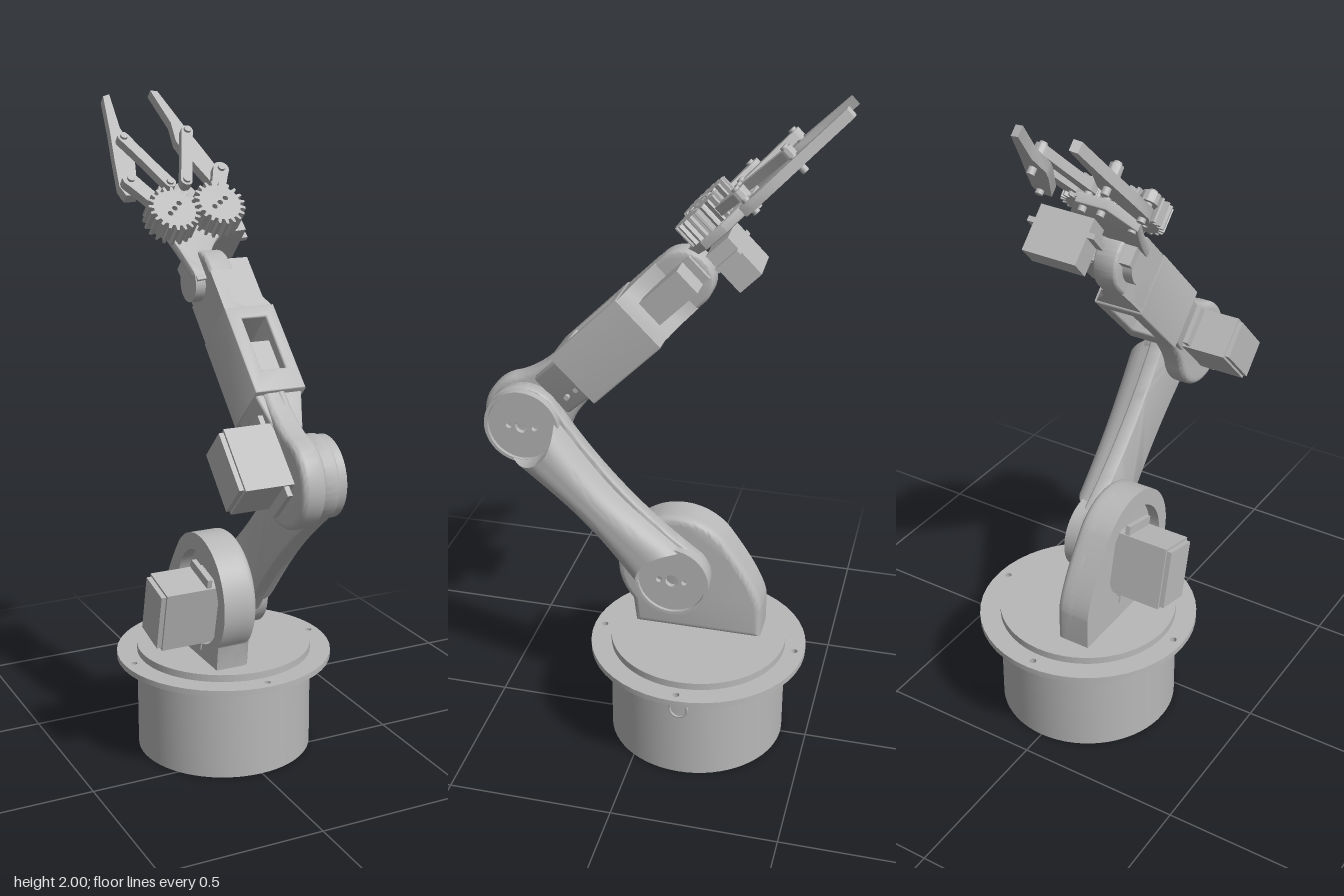
import * as THREE from 'three';
import { toCreasedNormals } from 'three/addons/utils/BufferGeometryUtils.js';

const gray = new THREE.MeshStandardMaterial({ color: 0xb8b8b8 });
gray.name = 'light gray';

function add(parent, name, geo, x = 0, y = 0, z = 0) {
  const m = new THREE.Mesh(geo, gray);
  m.name = name;
  m.position.set(x, y, z);
  parent.add(m);
  return m;
}
const smooth = (g) => toCreasedNormals(g, 0.6);
const poly = (pts, s = 1) => new THREE.Shape(pts.map(([x, y]) => new THREE.Vector2(s * x, y)));

// box given by its limits
function box(parent, name, [x0, x1], [y0, y1], [z0, z1]) {
  return add(parent, name, new THREE.BoxGeometry(x1 - x0, y1 - y0, z1 - z0),
    (x0 + x1) / 2, (y0 + y1) / 2, (z0 + z1) / 2);
}
// shape in x,y extruded from z0 to z1
function extrude(shape, z0, z1, b = 0) {
  const g = new THREE.ExtrudeGeometry(shape, {
    depth: z1 - z0 - 2 * b, curveSegments: 24, bevelEnabled: b > 0,
    bevelSize: b, bevelThickness: b, bevelOffset: -b, bevelSegments: 4,
  });
  return smooth(g.translate(0, 0, z0 + b));
}
const slab = (parent, name, shape, z0, z1, b) => add(parent, name, extrude(shape, z0, z1, b));
// shape in z,y extruded from x0 to x1
const plate = (parent, name, shape, x0, x1, b) =>
  add(parent, name, extrude(shape, -x1, -x0, b).rotateY(-Math.PI / 2));

function hole(shape, x, y, r) {
  shape.holes.push(new THREE.Path().absarc(x, y, r, 0, Math.PI * 2, true));
}
// two round ends joined by a waisted body
function waisted(r0, r1, len, waist) {
  const s = new THREE.Shape();
  s.absarc(0, 0, r0, Math.PI, Math.PI * 2);
  s.quadraticCurveTo(waist, len / 2, r1, len);
  s.absarc(0, len, r1, 0, Math.PI);
  s.quadraticCurveTo(-waist, len / 2, -r0, 0);
  return s;
}
// horn disc with its screw holes, facing +x
function horn(parent, y, r, x0, x1) {
  const s = new THREE.Shape().absarc(0, y, r, 0, Math.PI * 2);
  hole(s, 0, y, 0.02);
  for (const k of [-1, 1]) hole(s, 0.028 * k, y + 0.028 * k, 0.01);
  plate(parent, 'jointDisc', s, x0, x1);
}

function buildBase(root) {
  const base = new THREE.Group();
  base.name = 'base';
  base.position.z = -0.15;
  root.add(base);
  const profile = [[0.25, 0], [0.27, 0], [0.27, 0.335], [0, 0.335], [0, 0.3], [0.25, 0.3], [0.25, 0]];
  add(base, 'drum', smooth(new THREE.LatheGeometry(profile.map((p) => new THREE.Vector2(...p)), 64)));
  const ring = new THREE.Shape().absarc(0, 0, 0.333, 0, Math.PI * 2);
  hole(ring, 0, 0, 0.262);
  for (let i = 0; i < 4; i++) hole(ring, 0.302 * Math.cos(i * Math.PI / 2), 0.302 * Math.sin(i * Math.PI / 2), 0.01);
  add(base, 'flange', extrude(ring, 0, 0.018).rotateX(-Math.PI / 2), 0, 0.295, 0);
  add(base, 'cableHole', new THREE.TorusGeometry(0.027, 0.004, 8, 24).rotateY(Math.PI / 2), 0.269, 0.235, 0);
  box(base, 'baseServo', [-0.09, 0.11], [0.15, 0.3], [-0.06, 0.06]);
  box(base, 'baseServoEars', [-0.125, 0.145], [0.24, 0.255], [-0.06, 0.06]);
}

function buildShoulder(root) {
  // arched bracket, hollow towards -x
  const arch = () => {
    const s = new THREE.Shape();
    s.moveTo(-0.34, 0.33);
    s.lineTo(0.055, 0.33);
    s.lineTo(0.065, 0.41);
    s.absarc(-0.075, 0.535, 0.187, -0.72, Math.PI * 0.78);
    s.quadraticCurveTo(-0.335, 0.5, -0.34, 0.43);
    return s;
  };
  const rim = arch();
  hole(rim, -0.075, 0.525, 0.145);
  plate(root, 'shoulderRim', rim, -0.12, -0.045);
  plate(root, 'shoulderBracket', arch(), -0.085, -0.012, 0.02);
  const servo = new THREE.Group();
  servo.name = 'shoulderServo';
  servo.position.set(0, 0.497, -0.08);
  servo.rotation.x = 0.24;
  root.add(servo);
  box(servo, 'servoBody', [-0.255, -0.05], [-0.097, 0.097], [-0.065, 0.065]);
  box(servo, 'servoCap', [-0.27, -0.255], [-0.09, 0.09], [-0.058, 0.058]);
  box(servo, 'servoEars', [-0.125, -0.11], [-0.125, 0.125], [-0.06, 0.06]);
}

function buildUpperArm(root) {
  const arm = new THREE.Group(), L = 0.655, R = 0.106;
  arm.name = 'upperArm';
  arm.position.set(0, 0.54, -0.075);
  arm.rotation.x = 0.775;
  root.add(arm);
  plate(arm, 'linkPlate', waisted(0.113, 0.12, L, 0.055), -0.012, 0.035, 0.008);
  for (const y of [0, L]) {
    const cup = new THREE.Shape().absarc(0, y, 0.115, 0, Math.PI * 2);
    hole(cup, 0, y, 0.105);
    plate(arm, 'cupRim', cup, 0.02, 0.058);
    horn(arm, y, 0.103, 0.03, 0.05);
  }
  // bulged shell, cut round at both ends to clear the discs
  const nx = 20, ny = 18;
  const g = new THREE.PlaneGeometry(2, 1, nx, ny);
  const p = g.attributes.position;
  for (let i = 0; i < p.count; i++) {
    const row = Math.floor(i / (nx + 1)), s = p.getX(i);
    const t = 1 - THREE.MathUtils.clamp((row - 1) / (ny - 2), 0, 1);
    const u = -s * (0.1 - 0.026 * Math.sin(Math.PI * t));
    const cut = Math.sqrt(R * R - u * u);
    const h = row === 0 || row === ny ? 0 : (0.1 + 0.02 * t) * Math.sqrt(1 - Math.abs(s) ** 3);
    p.setXYZ(i, h, THREE.MathUtils.lerp(cut, L - cut, t), u);
  }
  g.computeVertexNormals();
  add(arm, 'linkShell', smooth(g));
}

function buildForearm(arm) {
  // elbow knuckle and neck
  const s = new THREE.Shape();
  s.absarc(0, 0, 0.132, Math.PI * 0.85, Math.PI * 2.15);
  s.quadraticCurveTo(0.08, 0.12, 0.08, 0.27);
  s.lineTo(-0.08, 0.27);
  s.quadraticCurveTo(-0.08, 0.12, -0.118, 0.06);
  plate(arm, 'elbowKnuckle', s, -0.085, -0.012, 0.018);
  slab(arm, 'neck', poly([[-0.085, 0.12], [0, 0.12], [0.043, 0.25], [-0.108, 0.25]]), -0.073, 0.073, 0.008);
  for (const y of [0.17, 0.21]) {
    add(arm, 'neckScrew', new THREE.CylinderGeometry(0.008, 0.008, 0.02, 12).rotateZ(Math.PI / 2), 0.022, y, -0.03);
  }
  // sleeve with a through slot and the servo inside it
  const sleeve = poly([[-0.11, 0.23], [0.043, 0.23], [0.043, 0.51], [-0.11, 0.51]]);
  sleeve.holes.push(new THREE.Path(poly([[-0.068, 0.3], [-0.068, 0.47], [0.005, 0.47], [0.005, 0.3]]).getPoints()));
  slab(arm, 'sleeve', sleeve, -0.095, 0.092, 0.006);
  box(arm, 'sleeveServo', [-0.07, 0.01], [0.29, 0.41], [-0.06, 0.06]);
  add(arm, 'cableGroove', new THREE.CapsuleGeometry(0.012, 0.07, 6, 12), -0.03, 0.22, 0.073);
  // flare and round wrist plate
  slab(arm, 'wristFlare', poly([[-0.108, 0.5], [0.043, 0.5], [0.02, 0.54], [-0.015, 0.58], [-0.035, 0.64], [-0.108, 0.64]]), -0.088, 0.088);
  const w = new THREE.Shape();
  w.moveTo(-0.088, 0.5);
  w.lineTo(0.088, 0.5);
  w.absarc(0, 0.665, 0.088, 0, Math.PI);
  plate(arm, 'wristPlate', w, -0.108, -0.035, 0.01);
  box(arm, 'wristServo', [-0.07, 0.048], [0.56, 0.71], [-0.042, 0.042]);
  box(arm, 'wristServoEars', [-0.035, -0.022], [0.53, 0.735], [-0.042, 0.042]);
  // elbow servo
  box(arm, 'elbowServo', [-0.228, -0.075], [-0.045, 0.145], [-0.06, 0.068]);
  box(arm, 'elbowServoCap', [-0.242, -0.228], [-0.038, 0.138], [-0.053, 0.061]);
  box(arm, 'elbowServoEars', [-0.115, -0.1], [-0.075, 0.175], [-0.055, 0.063]);
  // wrist hub
  add(arm, 'wristHub', new THREE.CylinderGeometry(0.055, 0.055, 0.03, 32).rotateZ(Math.PI / 2), -0.125, 0.665, 0);
}

function gearShape(n, r0, r1) {
  const pts = [];
  for (let i = 0; i < n; i++) {
    [[0, r0], [0.4, r0], [0.55, r1], [0.85, r1]].forEach(([k, r]) => {
      const a = (i + k) / n * Math.PI * 2;
      pts.push([r * Math.cos(a), r * Math.sin(a)]);
    });
  }
  return poly(pts);
}

// flat link between two pivots
function link(parent, name, [x0, y0], [x1, y1], r, z0, z1) {
  const len = Math.hypot(x1 - x0, y1 - y0);
  const m = slab(parent, name, waisted(r, r, len, r * 0.8), z0, z1);
  m.position.set(x0, y0, 0);
  m.rotation.z = Math.atan2(x0 - x1, y1 - y0);
  for (const [x, y] of [[x0, y0], [x1, y1]]) {
    add(parent, 'pivotPin', new THREE.CylinderGeometry(0.011, 0.011, 0.09, 16).rotateX(Math.PI / 2), x, y, z1 - 0.037);
  }
}

function buildGripper(arm) {
  const grip = new THREE.Group();
  grip.name = 'gripper';
  grip.position.set(-0.093, 0.84, 0);
  grip.rotation.z = 0.085;
  arm.add(grip);
  const palm = new THREE.Shape();
  palm.moveTo(-0.06, -0.2);
  palm.lineTo(-0.005, -0.2);
  palm.quadraticCurveTo(0, -0.1, 0.09, -0.05);
  palm.lineTo(0.1, 0.03);
  palm.lineTo(0.045, 0.14);
  palm.lineTo(-0.045, 0.14);
  palm.lineTo(-0.1, 0.03);
  palm.quadraticCurveTo(-0.07, -0.08, -0.06, -0.2);
  slab(grip, 'palm', palm, 0.025, 0.055, 0.004);
  box(grip, 'palmNeck', [-0.058, -0.025], [-0.2, -0.1], [-0.03, 0.04]);
  box(grip, 'gripperServo', [0.02, 0.18], [-0.035, 0.045], [-0.11, 0.025]);
  box(grip, 'gripperServoEars', [0, 0.2], [-0.035, 0.045], [-0.03, -0.015]);

  const finger = [[0.125, 0.11], [0.16, 0.115], [0.168, 0.15], [0.145, 0.25], [0.12, 0.35],
    [0.09, 0.485], [0.068, 0.49], [0.084, 0.36], [0.072, 0.29], [0.08, 0.25]];
  for (const s of [-1, 1]) {
    const gear = gearShape(20, 0.062, 0.077);
    for (const k of [-1, 0, 1]) hole(gear, 0.022 * k, 0.012 * k, 0.008);
    const g = slab(grip, 'gear', gear, 0.06, 0.128);
    g.position.x = s * 0.073;
    if (s < 0) g.rotation.z = Math.PI / 20;
    link(grip, 'gearArm', [s * 0.085, 0.03], [s * 0.147, 0.14], 0.024, 0.072, 0.1);
    link(grip, 'guideLink', [s * 0.027, 0.12], [s * 0.104, 0.3], 0.018, 0.065, 0.092);
    slab(grip, 'finger', poly(finger, s), 0.03, 0.06);
  }
}

export function createModel() {
  const root = new THREE.Group();
  root.name = 'robotArm';
  buildBase(root);
  buildShoulder(root);
  buildUpperArm(root);
  const forearm = new THREE.Group();
  forearm.name = 'forearm';
  forearm.position.set(0, 1.01, 0.39);
  forearm.rotation.x = -Math.PI / 4;
  root.add(forearm);
  buildForearm(forearm);
  buildGripper(forearm);
  return root;
}
